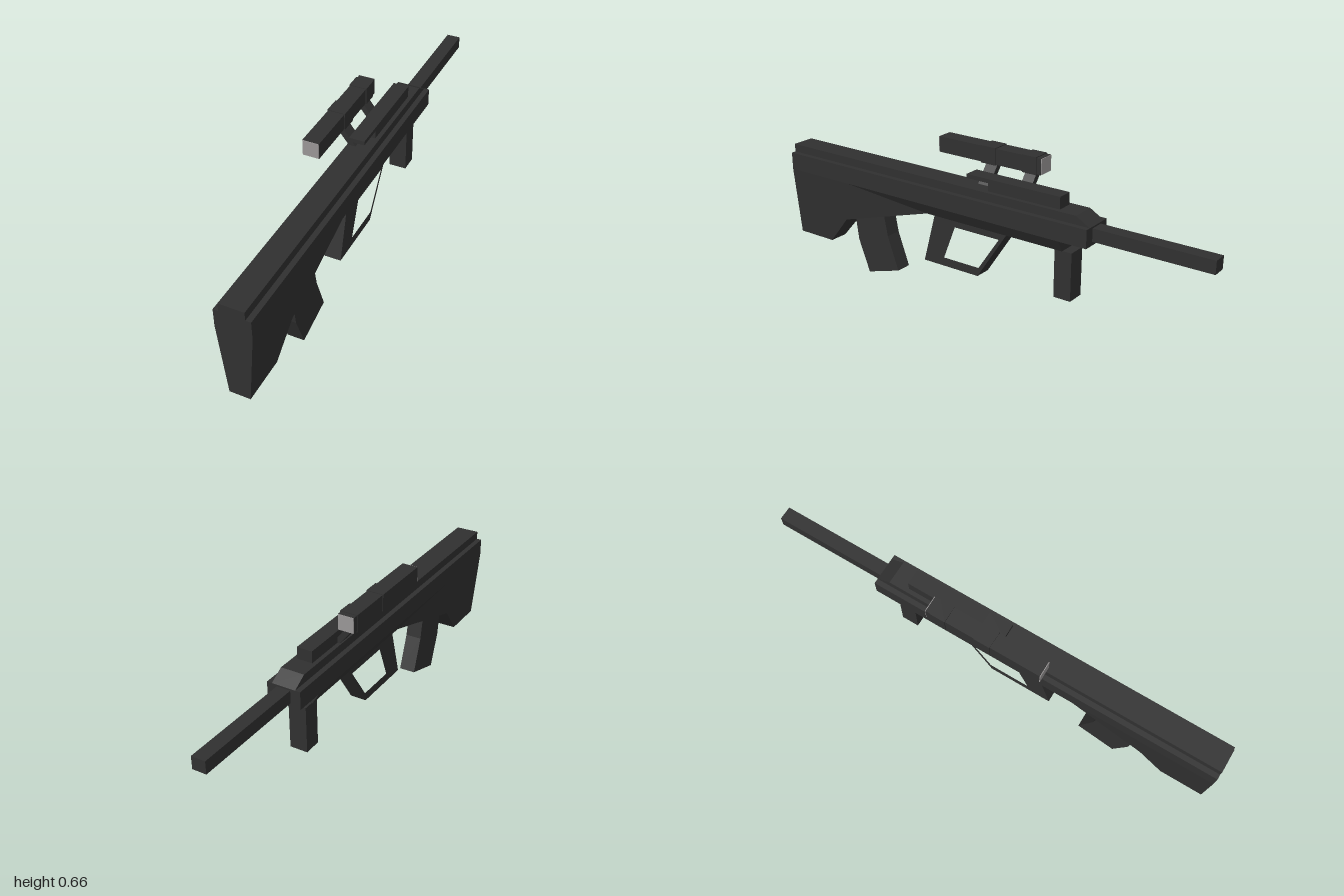
import * as THREE from 'three';

const CX = 0.0275; // centre plane of the body; the sight hangs off to one side

export function createModel() {
  const group = new THREE.Group();
  const dark = new THREE.MeshStandardMaterial({ color: 0x303030 });
  dark.name = 'dark metal';
  const grey = new THREE.MeshStandardMaterial({ color: 0x999696 });
  grey.name = 'lens grey';

  const add = (name, geometry, material = dark) => {
    const mesh = new THREE.Mesh(geometry, material);
    mesh.name = name;
    group.add(mesh);
    return mesh;
  };

  // Box given by its limits on each axis
  const box = (name, x0, x1, y0, y1, z0, z1, material) => {
    const g = new THREE.BoxGeometry(x1 - x0, y1 - y0, z1 - z0);
    g.translate((x0 + x1) / 2, (y0 + y1) / 2, (z0 + z1) / 2);
    return add(name, g, material);
  };

  const shapeOf = (points) => new THREE.Shape(points.map(([a, b]) => new THREE.Vector2(a, b)));

  // Side profile of [z, y] points, with a half width that may vary by position
  const profile = (name, points, halfWidth, hole) => {
    const shape = shapeOf(points);
    if (hole) shape.holes.push(shapeOf(hole));
    const g = new THREE.ExtrudeGeometry(shape, { depth: 2, bevelEnabled: false });
    g.translate(0, 0, -1);
    g.rotateY(-Math.PI / 2);
    const p = g.attributes.position;
    for (let i = 0; i < p.count; i++) {
      const w = typeof halfWidth === 'function' ? halfWidth(p.getZ(i), p.getY(i)) : halfWidth;
      p.setX(i, CX + p.getX(i) * w);
    }
    g.computeVertexNormals();
    return add(name, g);
  };

  // Receiver, with the stock and fore-end tapering below it
  box('receiver', CX - 0.0715, CX + 0.0715, 0.41, 0.485, -0.515, 1);
  profile('stock', [
    [1, 0.41], [1, 0.102], [0.813, 0.102], [0.705, 0.23],
    [0.257, 0.36], [-0.395, 0.36], [-0.395, 0.41], [0.67, 0.41],
  ], (z, y) => (y > 0.4 ? 0.0715 : y > 0.2 && y < 0.3 ? 0.053 : 0.042));

  // Top rail with a sloped nose
  profile('topRail', [[1, 0.485], [1, 0.52], [-0.455, 0.52], [-0.515, 0.485]], 0.05);

  box('barrel', CX - 0.029, CX + 0.029, 0.425, 0.478, -1, -0.515);

  // Curved magazine
  profile('magazine', [
    [0.67, 0.28], [0.652, 0.145], [0.598, 0.003], [0.43, 0.053], [0.483, 0.2], [0.505, 0.32],
  ], 0.035);

  // Grip loop and foregrip
  profile('gripLoop',
    [[0.22, 0.365], [0.28, 0.145], [0.005, 0.145], [-0.14, 0.365]], 0.035,
    [[0.118, 0.33], [0.176, 0.182], [0, 0.182], [-0.1, 0.33]]);
  box('foregrip', CX - 0.038, CX + 0.038, 0.16, 0.36, -0.435, -0.36);

  // Sight base and its overhanging top plate
  box('sightBase', CX - 0.0325, CX + 0.0325, 0.52, 0.57, -0.375, -0.045);
  box('sightBasePlate', CX - 0.0325, CX + 0.0325, 0.553, 0.57, -0.045, 0.058);

  // Offset sight with a lens at each end
  const sx = -0.062, sy = 0.6315;
  box('sightTube', sx - 0.034, sx + 0.034, sy - 0.033, sy + 0.033, -0.23, 0.262);
  for (const [z, name] of [[0.263, 'rearLens'], [-0.231, 'frontLens']]) {
    box(name, sx - 0.033, sx + 0.033, sy - 0.032, sy + 0.032, z - 0.002, z + 0.002, grey);
  }

  // Sight rings, each on a slanted strut
  for (const [ring0, ring1, strut0, strut1] of [[-0.02, 0.05, -0.016, 0.037], [-0.21, -0.145, -0.2, -0.15]]) {
    box('sightRing', sx - 0.037, sx + 0.037, sy - 0.036, sy + 0.036, ring0, ring1);
    const strut = new THREE.ExtrudeGeometry(
      shapeOf([[-0.016, 0.52], [0.0125, 0.52], [-0.046, 0.597], [-0.077, 0.597]]),
      { depth: strut1 - strut0, bevelEnabled: false });
    strut.translate(0, 0, strut0);
    add('sightStrut', strut);
  }

  return group;
}
